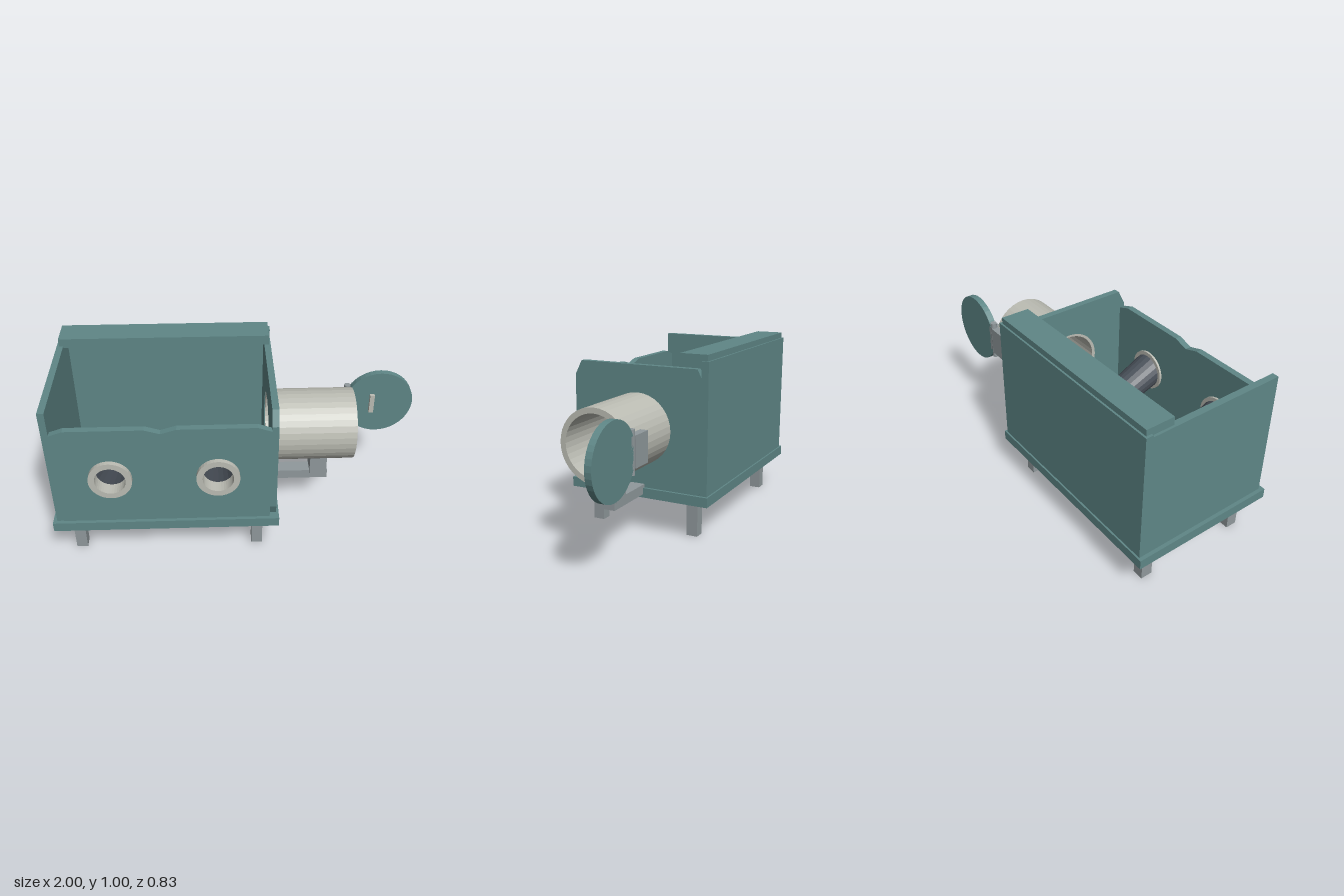
import * as THREE from 'three';

const mat = (color, extra = {}) => new THREE.MeshStandardMaterial({ color, flatShading: true, ...extra });

export function createModel() {
  const model = new THREE.Group();
  const teal = mat(0x5f8787), steel = mat(0x90999c), pale = mat(0xbcbdb4);
  const rubber = mat(0x4a515a, { side: THREE.DoubleSide });

  const add = (name, geometry, material, parent = model) => {
    const mesh = new THREE.Mesh(geometry, material);
    mesh.name = name;
    parent.add(mesh);
    return mesh;
  };
  // Box given by its limits on each axis
  const box = (name, x0, x1, y0, y1, z0, z1, material, parent) => {
    const g = new THREE.BoxGeometry(x1 - x0, y1 - y0, z1 - z0);
    g.translate((x0 + x1) / 2, (y0 + y1) / 2, (z0 + z1) / 2);
    return add(name, g, material, parent);
  };
  // Flat panel with round holes [x, y, radius]
  const panel = (points, holes, depth) => {
    const shape = new THREE.Shape(points.map(p => new THREE.Vector2(...p)));
    for (const [x, y, r] of holes) {
      shape.holes.push(new THREE.Path().absarc(x, y, r, 0, Math.PI * 2, true));
    }
    return new THREE.ExtrudeGeometry(shape, { depth, bevelEnabled: false, curveSegments: 36 });
  };
  // Hollow cylinder along y, starting at 0
  const ring = (inner, outer, length) => new THREE.LatheGeometry(
    [[inner, 0], [outer, 0], [outer, length], [inner, length], [inner, 0]]
      .map(p => new THREE.Vector2(...p)), 36);

  // Base and legs
  box('base', -1, 0.2, 0.203, 0.257, -0.415, 0.41, teal);
  for (const x of [-0.885, 0.087]) {
    for (const z of [-0.293, 0.293]) {
      box('leg', x - 0.03, x + 0.03, 0, 0.203, z - 0.032, z + 0.032, steel);
    }
  }

  // Chamber walls
  box('leftWall', -0.98, -0.945, 0.257, 0.953, -0.385, 0.388, teal);
  box('backWall', -0.98, 0.185, 0.257, 0.964, -0.406, -0.366, teal);
  box('topBeam', -0.967, 0.172, 0.943, 0.997, -0.396, -0.241, teal);

  const tubeY = 0.58;
  const rightWall = panel([
    [0.36, 0.257], [0.385, 0.32], [0.385, 0.843], [0.345, 0.922],
    [-0.345, 0.922], [-0.387, 0.838], [-0.387, 0.32], [-0.36, 0.257],
  ].reverse(), [[0, tubeY, 0.18]], 0.035);
  rightWall.rotateY(-Math.PI / 2).translate(0.185, 0, 0);
  add('rightWall', rightWall, teal);

  const ports = [-0.67, -0.12], portY = 0.545;
  const frontWall = panel([
    [-0.945, 0.257], [0.15, 0.257], [0.15, 0.82], [0.08, 0.845], [-0.32, 0.845],
    [-0.4, 0.82], [-0.48, 0.845], [-0.875, 0.845], [-0.945, 0.82],
  ], ports.map(x => [x, portY, 0.095]), 0.035);
  frontWall.translate(0, 0, 0.356);
  add('frontWall', frontWall, teal);

  // Glove ports with sleeves that slope down toward the back
  const gloveProfile = [[0.094, 0], [0.087, 0.13], [0.079, 0.28], [0.064, 0.42],
    [0.056, 0.5], [0.054, 0.55], [0.03, 0.568], [0, 0.58]].map(p => new THREE.Vector2(...p));
  for (const x of ports) {
    const port = new THREE.Group();
    port.name = 'glovePort';
    port.position.set(x, portY, 0);
    model.add(port);

    const rim = ring(0.08, 0.112, 0.072);
    rim.rotateX(Math.PI / 2).translate(0, 0, 0.344);
    add('portRing', rim, pale, port);

    const glove = new THREE.LatheGeometry(gloveProfile, 20);
    glove.rotateX(-Math.PI / 2).translate(0, 0, 0.35);
    const pos = glove.attributes.position;
    for (let i = 0; i < pos.count; i++) {
      pos.setY(i, pos.getY(i) - 0.43 * (0.35 - pos.getZ(i)));
    }
    glove.computeVertexNormals();
    add('glove', glove, rubber, port);

    const thumb = add('gloveThumb', new THREE.CylinderGeometry(0.03, 0.036, 0.11, 12), rubber, port);
    thumb.position.set(-0.063, -0.2, -0.125);
    thumb.quaternion.setFromUnitVectors(new THREE.Vector3(0, 1, 0),
      new THREE.Vector3(-0.78, -0.1, -0.6).normalize());
  }

  // Transfer tube and its support
  const tube = ring(0.165, 0.195, 0.465);
  tube.rotateZ(-Math.PI / 2).translate(0.155, tubeY, 0);
  add('transferTube', tube, pale);
  box('tubeSupport', 0.4, 0.495, 0.262, 0.4, -0.049, 0.049, steel);
  box('supportArm', 0.185, 0.502, 0.222, 0.276, -0.04, 0.04, steel);

  // Open door with hinge and handle
  const door = new THREE.Group();
  door.name = 'door';
  model.add(door);
  const disc = new THREE.CylinderGeometry(0.194, 0.194, 0.036, 40);
  disc.rotateX(Math.PI / 2).translate(0.804, tubeY, -0.204);
  add('doorDisc', disc, teal, door);
  box('doorHandle', 0.75, 0.776, 0.524, 0.638, -0.186, -0.166, pale, door);
  box('doorHingeLeaf', 0.62, 0.646, 0.5, 0.662, -0.222, -0.165, steel, door);
  box('tubeHingeLeaf', 0.492, 0.612, 0.5, 0.662, -0.226, -0.184, steel, door);
  const pin = new THREE.CylinderGeometry(0.018, 0.018, 0.225, 16);
  pin.translate(0.62, tubeY, -0.206);
  add('hingePin', pin, steel, door);

  return model;
}
